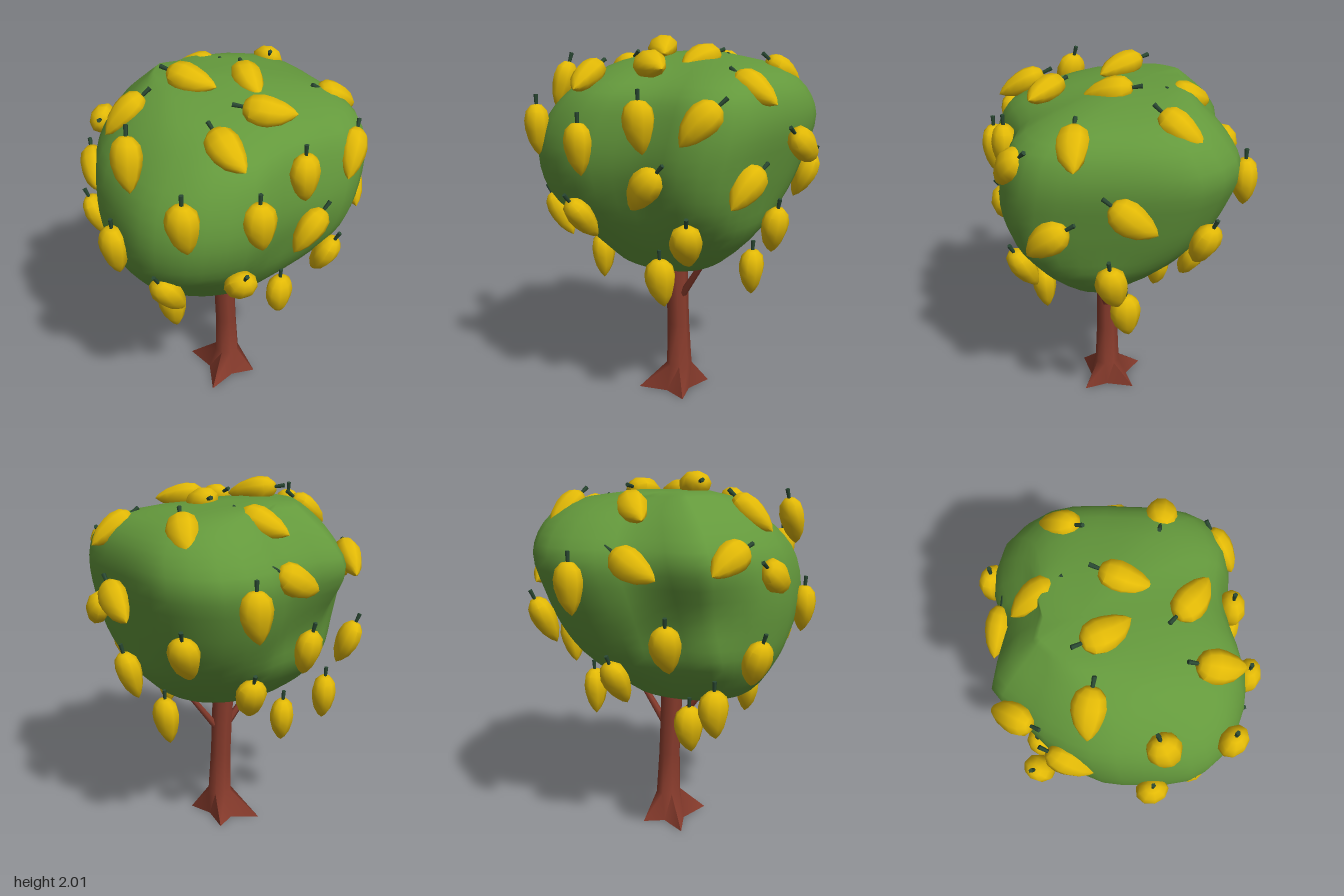
import * as THREE from 'three';
import { toCreasedNormals } from 'three/addons/utils/BufferGeometryUtils.js';

const V = (x, y, z) => new THREE.Vector3(x, y, z);
const { clamp, lerp } = THREE.MathUtils;
const mat = (name, color) => {
  const m = new THREE.MeshStandardMaterial({ color });
  m.name = name;
  return m;
};

// Closed skin through rings, listed bottom to top, each clockwise from above
function loft(rings) {
  const n = rings[0].length, pts = rings.flat(), idx = [];
  for (let j = 0; j < rings.length - 1; j++) {
    for (let i = 0; i < n; i++) {
      const k = (i + 1) % n;
      const a = j * n + i, b = j * n + k, c = a + n, d = b + n;
      idx.push(a, c, b, b, c, d);
    }
  }
  const centre = ring => ring.reduce((s, p) => s.add(p), V(0, 0, 0)).divideScalar(n);
  const low = pts.length, high = low + 1, last = (rings.length - 1) * n;
  pts.push(centre(rings[0]), centre(rings[rings.length - 1]));
  for (let i = 0; i < n; i++) {
    const k = (i + 1) % n;
    idx.push(low, i, k, high, last + k, last + i);
  }
  const g = new THREE.BufferGeometry().setFromPoints(pts);
  g.setIndex(idx);
  g.computeVertexNormals();
  return g;
}

// Crown plan outline, and its extents at each height: y, xMin, xMax, zMin, zMax
const OUTLINE = [
  [-0.46, -0.52], [-0.15, -0.53], [0.03, -0.64], [0.3, -0.67], [0.52, -0.51], [0.6, -0.3],
  [0.64, -0.1], [0.68, 0.15], [0.66, 0.34], [0.5, 0.48], [0.3, 0.5], [0.12, 0.57],
  [-0.08, 0.68], [-0.3, 0.68], [-0.44, 0.63], [-0.57, 0.51], [-0.64, 0.29], [-0.68, 0.05],
  [-0.63, -0.2], [-0.55, -0.37],
];
// The first level is the underside, drawn up around the trunk
const LEVELS = [
  [0.86, -0.09, 0.09, -0.05, 0.13], [0.785, -0.32, 0.21, -0.1, 0.27],
  [0.84, -0.47, 0.34, -0.18, 0.33],
  [1.03, -0.61, 0.53, -0.4, 0.5], [1.2, -0.66, 0.6, -0.52, 0.62],
  [1.4, -0.68, 0.65, -0.62, 0.68], [1.6, -0.65, 0.68, -0.67, 0.65],
  [1.75, -0.55, 0.64, -0.58, 0.56], [1.85, -0.43, 0.5, -0.46, 0.34],
  [1.915, -0.3, 0.1, -0.34, 0],
];
// Hollows in the crown: centre, depth
const HOLLOWS = [[-0.5, 1.28, -0.45, 0.16], [-0.42, 1.8, 0.4, 0.1]];

function crownGeometry() {
  const plan = new THREE.CatmullRomCurve3(OUTLINE.map(([x, z]) => V(x / 0.68, 0, z / 0.68)), true);
  const ribs = plan.getPoints(40).slice(0, 40).map(o => {
    const rib = LEVELS.map(([y, x0, x1, z0, z1]) => {
      // The plan turns rounder towards the underside
      const s = lerp(1, 1 / o.length(), clamp((1.2 - y) / 0.35, 0, 1));
      return V((x0 + x1 + s * o.x * (x1 - x0)) / 2, y, (z0 + z1 + s * o.z * (z1 - z0)) / 2);
    });
    return new THREE.CatmullRomCurve3(rib).getPoints(27);
  });
  ribs.flat().forEach(p => HOLLOWS.forEach(([x, y, z, depth]) => {
    const s = 1 - depth * Math.exp(-p.distanceToSquared(V(x, y, z)) / 0.05);
    p.x *= s;
    p.z *= s;
  }));
  return loft(ribs[0].map((_, j) => ribs.map(r => r[j])));
}

// Trunk on a four-pointed root flare
function trunkGeometry() {
  const roots = [[-0.16, -0.13], [-0.01, -0.06], [0.09, -0.13], [0.09, 0.03],
    [0.16, 0.15], [0.02, 0.14], [-0.13, 0.22], [-0.09, 0.03]].map(([x, z]) => V(x, 0, z));
  const rings = [[0.15, 0.072, 0.02], [0.4, 0.062, 0.013], [0.6, 0.062, 0.005], [0.95, 0.067, -0.01]]
    .map(([y, r, cx]) => roots.map((_, i) => {
      const a = (i - 3) * Math.PI / 4;
      return V(cx + r * Math.cos(a), y, 0.04 + r * Math.sin(a));
    }));
  return toCreasedNormals(loft([roots, ...rings]), 1.1);
}

// Fruit: a flattened, plump teardrop whose pointed tip curls sideways
function fruitGeometry() {
  const profile = [[0, -0.142], [0.03, -0.115], [0.06, -0.07], [0.079, -0.01], [0.083, 0.035],
    [0.07, 0.085], [0.037, 0.115], [0, 0.122]];
  const g = new THREE.LatheGeometry(profile.map(([x, y]) => new THREE.Vector2(x, y)), 9);
  const p = g.attributes.position;
  for (let i = 0; i < p.count; i++) {
    const y = p.getY(i);
    p.setX(i, p.getX(i) + (y < 0 ? y * y : 0));
    p.setZ(i, p.getZ(i) * 0.8);
  }
  return toCreasedNormals(g, 0.9);
}

// Fruits hanging stem up: centre
const HANGING = [
  [-0.4, 1.55, 0.66], [-0.04, 1.49, 0.67], [0.24, 1.61, 0.52],
  [0.44, 1.03, 0.4], [-0.37, 0.785, 0.27], [0.21, 0.78, 0.36],
  [0.41, 0.77, -0.13], [-0.25, 0.68, -0.22], [-0.45, 0.83, -0.33], [0.06, 0.95, -0.44],
  [-0.25, 1.17, -0.47], [-0.66, 1.28, 0.34], [0.16, 1.48, -0.69], [-0.64, 1.1, -0.25],
];
// Fruits resting on the leaves: centre, then stem direction
const RESTING = [
  [0.54, 1.64, 0.41, 0.09, 0.13, -0.12], [0.28, 1.31, 0.53, 0.2, 0.22, -0.04],
  [0.66, 1.33, 0.21, 0.02, 0.17, -0.24], [0.68, 1.48, -0.2, 0.02, 0.18, 0.22],
  [0.59, 1.78, 0.09, -0.24, 0.15, 0.02], [0.39, 1.82, -0.38, -0.06, 0.17, 0.22],
  [0.12, 1.88, 0.33, -0.25, 0.04, -0.13], [-0.15, 1.82, 0.52, -0.06, 0.12, -0.24],
  [-0.16, 1.94, -0.01, -0.18, 0.05, -0.2], [0.14, 1.9, 0, 0.02, 0.06, -0.25],
  [-0.02, 1.84, -0.39, 0.18, 0.12, 0.2], [-0.12, 1.58, -0.57, 0.24, 0.15, 0],
  [-0.54, 1.62, -0.37, -0.08, 0.1, 0.24], [-0.49, 1.81, -0.01, 0.2, 0.17, 0],
  [-0.66, 1.5, -0.07, 0.02, 0.13, -0.2], [-0.57, 1.75, 0.36, 0.03, 0.25, -0.07],
  [0.59, 1.05, -0.09, 0.06, 0.25, 0.01], [0.45, 1.26, -0.52, 0.06, 0.25, -0.1],
  [-0.11, 1.11, 0.61, 0, 0.22, 0.17], [-0.44, 1.06, 0.5, -0.13, 0.25, 0.06],
];

export function createModel() {
  const tree = new THREE.Group();
  tree.name = 'fruitTree';
  const leaf = mat('leaf green', 0x64993c);
  const bark = mat('bark brown', 0x873b2c);
  const skin = mat('fruit yellow', 0xe2b906);
  const stalk = mat('stalk green', 0x2b4a34);
  const add = (parent, name, geometry, material) => {
    const m = new THREE.Mesh(geometry, material);
    m.name = name;
    parent.add(m);
    return m;
  };

  add(tree, 'crown', crownGeometry(), leaf);
  add(tree, 'trunk', trunkGeometry(), bark);

  // Forked branches reaching into the crown
  const branch = (name, from, to) => {
    const m = add(tree, name, new THREE.CylinderGeometry(0.015, 0.022, from.distanceTo(to), 6), bark);
    m.position.copy(from).lerp(to, 0.5);
    m.quaternion.setFromUnitVectors(V(0, 1, 0), to.clone().sub(from).normalize());
  };
  branch('rightBranch', V(-0.02, 0.57, 0.04), V(-0.25, 0.87, 0.04));
  branch('leftBranch', V(0.04, 0.57, 0.04), V(0.24, 0.85, 0.04));

  // Fruits, with their flat side against the crown
  const body = fruitGeometry();
  const stem = new THREE.CylinderGeometry(0.012, 0.009, 0.06, 5);
  const addFruit = (pos, axis) => {
    const fruit = new THREE.Group();
    fruit.name = 'fruit';
    const up = axis.normalize();
    const side = up.clone().cross(pos.clone().sub(V(0, 1.3, 0))).normalize();
    fruit.quaternion.setFromRotationMatrix(new THREE.Matrix4().makeBasis(side, up, side.clone().cross(up)));
    fruit.position.copy(pos);
    add(fruit, 'fruitBody', body, skin);
    add(fruit, 'fruitStem', stem, stalk).position.y = 0.142;
    tree.add(fruit);
  };
  // Stems lean outwards where the crown overhangs
  HANGING.forEach(([x, y, z]) => {
    const lean = y < 0.9 ? 0.05 : clamp((1.3 - y) * 2, 0, 0.5);
    const out = V(x, 0, z).normalize().multiplyScalar(lean);
    addFruit(V(x, y, z), out.add(V(0, 1, 0)));
  });
  RESTING.forEach(([x, y, z, dx, dy, dz]) => addFruit(V(x, y, z), V(dx, dy, dz)));

  return tree;
}
